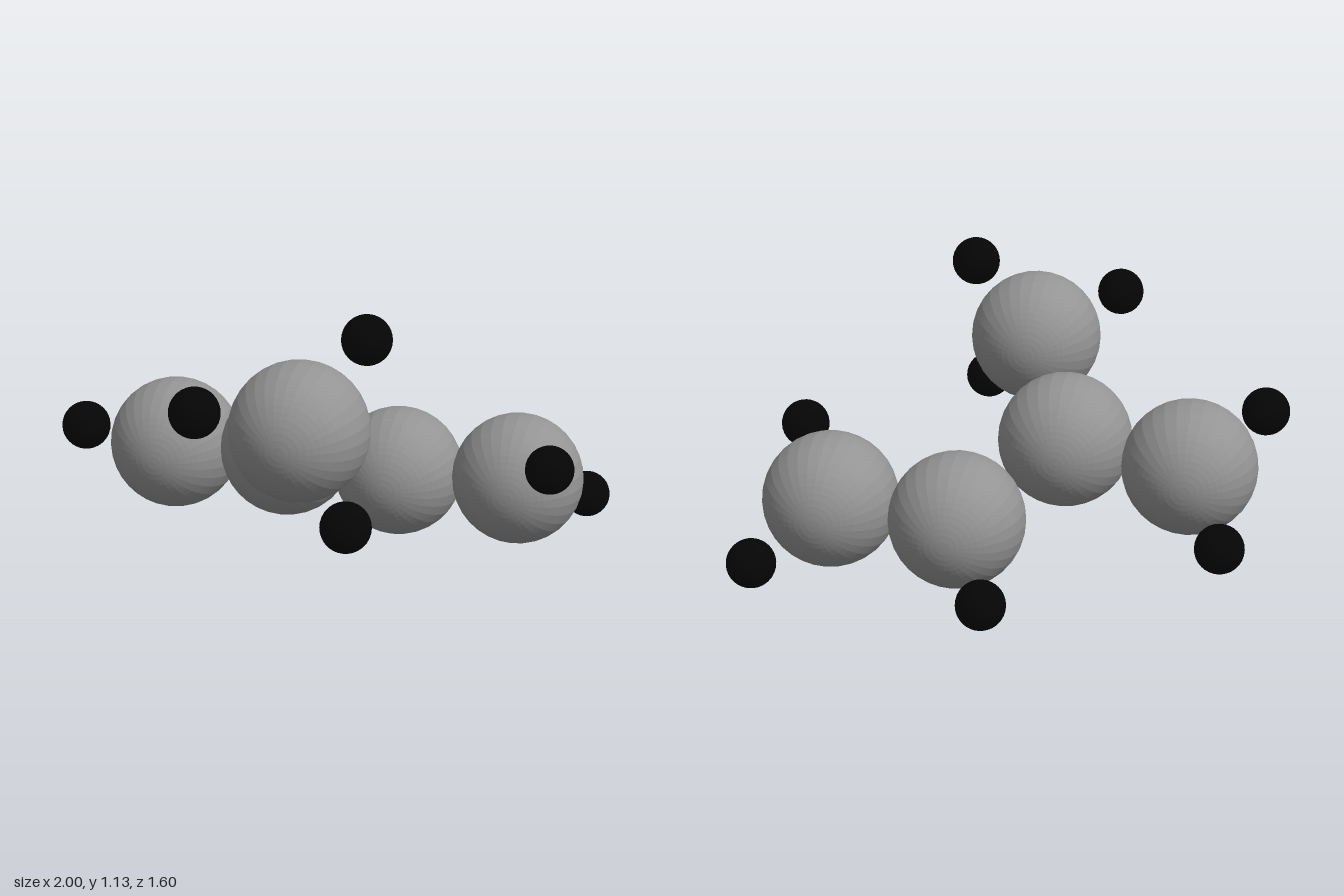
import * as THREE from 'three';

// Atom centres: [x, y, z]
const LARGE = [
  [-0.644, 0.413, -0.076],
  [-0.16, 0.461, -0.002],
  [0.029, 0.708, 0.46],
  [0.187, 0.269, -0.381],
  [0.677, 0.301, -0.344],
];
const SMALL = [
  [-0.908, 0.548, 0.193],
  [-0.788, 0.237, -0.404],
  [-0.278, 0.829, 0.705],
  [0.251, 1.038, 0.361],
  [0.262, 0.446, 0.673],
  [0.037, 0.092, -0.709],
  [0.855, 0.468, -0.028],
  [0.908, 0.151, -0.634],
];

// One faceted ball per centre, poles along z
function addAtoms(group, name, centres, radius, color) {
  const geometry = new THREE.SphereGeometry(radius, 32, 32).rotateX(Math.PI / 2);
  const material = new THREE.MeshStandardMaterial({ color, flatShading: true });
  centres.forEach((centre, i) => {
    const atom = new THREE.Mesh(geometry, material);
    atom.name = name + (i + 1);
    atom.position.set(...centre);
    group.add(atom);
  });
}

export function createModel() {
  const molecule = new THREE.Group();
  molecule.name = 'molecule';
  addAtoms(molecule, 'largeAtom', LARGE, 0.257, 0x949494);
  addAtoms(molecule, 'smallAtom', SMALL, 0.092, 0x050505);
  return molecule;
}
